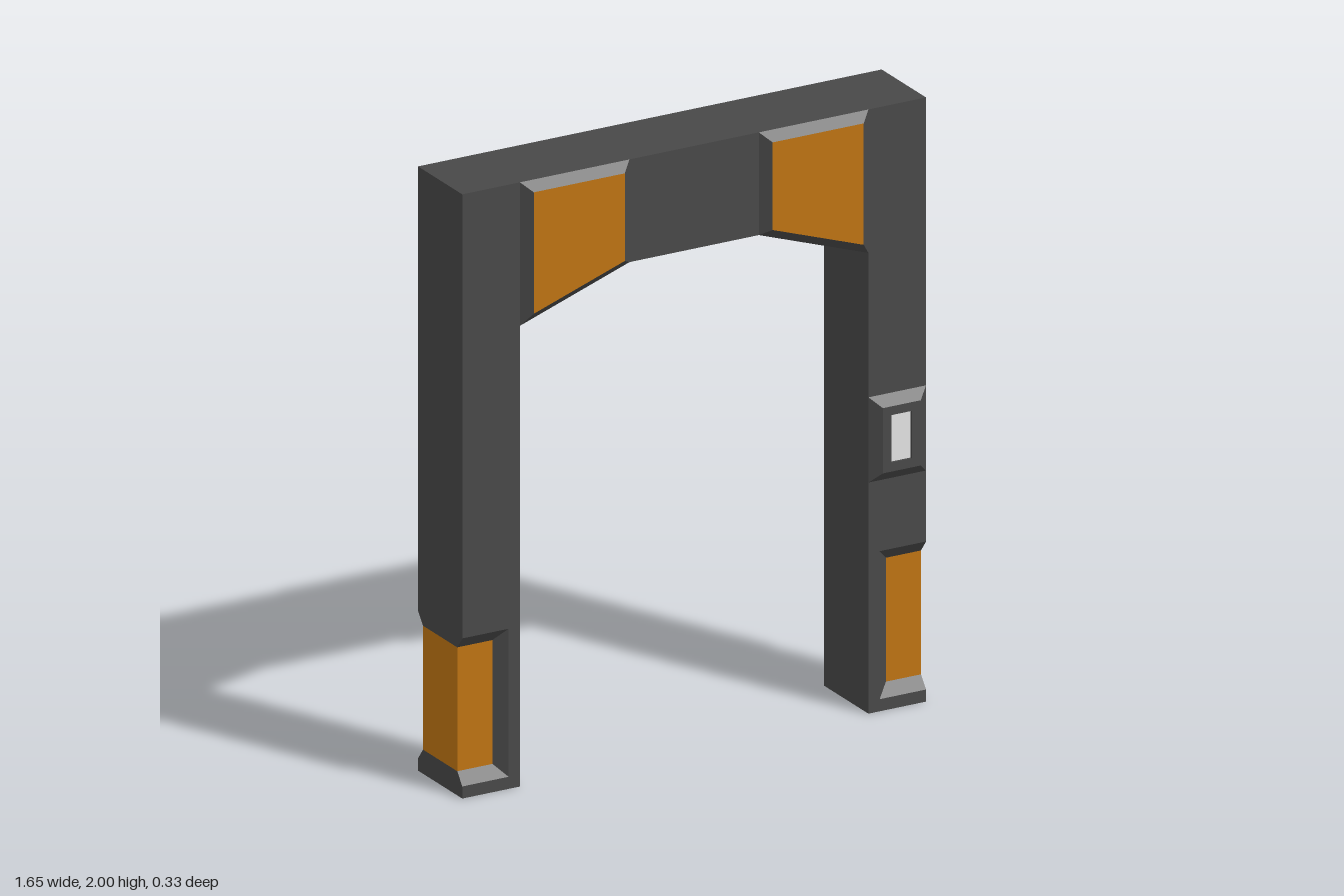
import * as THREE from 'three';

const DEPTH = 0.137;   // half depth of the frame
const RAISED = 0.1655; // front of raised panels
const SUNK = 0.106;    // front of the recessed foot plates
const OUT = 0.825, IN = 0.62;

const material = (name, color) => {
  const m = new THREE.MeshStandardMaterial({ color });
  m.name = name;
  return m;
};

// Joins rings of points with flat quads; pick(level, side) gives the material index.
// An end cap has side -1; its level is 'start' or 'end'.
function loft(name, rings, materials, pick, { start = false, end = false } = {}) {
  const buckets = materials.map(() => []);
  const n = rings[0].length;
  for (let l = 0; l < rings.length - 1; l++) {
    for (let i = 0; i < n; i++) {
      const j = (i + 1) % n;
      const [a, b, c, d] = [rings[l][i], rings[l][j], rings[l + 1][j], rings[l + 1][i]];
      buckets[pick(l, i)].push(...a, ...b, ...c, ...a, ...c, ...d);
    }
  }
  const cap = (ring, level) => {
    for (let i = 1; i < n - 1; i++) buckets[pick(level, -1)].push(...ring[0], ...ring[i], ...ring[i + 1]);
  };
  if (start) cap([...rings[0]].reverse(), 'start');
  if (end) cap(rings[rings.length - 1], 'end');

  const geometry = new THREE.BufferGeometry();
  geometry.setAttribute('position', new THREE.Float32BufferAttribute(buckets.flat(), 3));
  let first = 0;
  buckets.forEach((bucket, i) => {
    geometry.addGroup(first, bucket.length / 3, i);
    first += bucket.length / 3;
  });
  geometry.computeVertexNormals();
  const mesh = new THREE.Mesh(geometry, materials);
  mesh.name = name;
  return mesh;
}

const atZ = (points, z) => points.map(([x, y]) => [x, y, z]);
const rect = (x0, x1, y0, y1) => [[x0, y0], [x1, y0], [x1, y1], [x0, y1]];

export function createModel() {
  const dark = material('darkFrame', 0x484848);
  const orange = material('orangePlate', 0xbf7412);
  const light = material('lightScreen', 0xe2e2e2);

  // Arch: both legs above the feet, and the crossbeam with its sloped corners
  const shape = new THREE.Shape([
    [-OUT, 0.53], [-IN, 0.53], [-IN, 1.525], [-0.23, 1.66], [0.23, 1.66],
    [IN, 1.525], [IN, 0.53], [OUT, 0.53], [OUT, 2], [-OUT, 2],
  ].map(([x, y]) => new THREE.Vector2(x, y)));
  const archGeometry = new THREE.ExtrudeGeometry(shape, { depth: DEPTH * 2, bevelEnabled: false });
  archGeometry.translate(0, 0, -DEPTH);
  const arch = new THREE.Mesh(archGeometry, dark);
  arch.name = 'arch';

  // Foot: recesses front and back, with an orange plate wrapped round the outer side
  function makeFoot() {
    const section = (y, sunk) => {
      const x = sunk ? 0.70 : 0.66, z = sunk ? SUNK : DEPTH;
      return [
        [IN, y, DEPTH], [0.66, y, DEPTH], [x, y, z], [OUT, y, z],
        [OUT, y, -z], [x, y, -z], [0.66, y, -DEPTH], [IN, y, -DEPTH],
      ];
    };
    const rings = [section(0, false), section(0.04, false), section(0.08, true),
      section(0.49, true), section(0.53, false)];
    return loft('foot', rings, [dark, orange],
      (l, i) => (l === 2 && i >= 2 && i <= 4 ? 1 : 0), { start: true });
  }

  // Raised corner panel with chamfered edges and an orange face
  function makeCornerPanel(side) {
    const flip = (points) => (side > 0 ? points : points.map(([x, y]) => [-x, y]).reverse());
    const base = flip([[0.23, 1.66], [IN, 1.525], [IN, 2], [0.23, 2]]);
    const face = flip([[0.263, 1.68], [0.587, 1.568], [0.587, 1.97], [0.263, 1.97]]);
    return loft('cornerPanel', [atZ(base, DEPTH), atZ(face, RAISED)], [dark, orange],
      (l) => (l === 'end' ? 1 : 0), { end: true });
  }

  // Control box with a sunken light screen
  function makeControlBox() {
    const screen = rect(0.686, 0.758, 0.828, 0.985);
    const rings = [
      atZ(rect(IN, OUT, 0.765, 1.047), DEPTH),
      atZ(rect(0.655, 0.79, 0.798, 1.014), RAISED),
      atZ(screen, RAISED),
      atZ(screen, RAISED - 0.008),
    ];
    return loft('controlBox', rings, [dark, light], (l) => (l === 'end' ? 1 : 0), { end: true });
  }

  // The back half repeats the front half turned half a turn
  const model = new THREE.Group();
  model.name = 'gateway';
  model.add(arch);
  for (const [name, turn] of [['frontHalf', 0], ['backHalf', Math.PI]]) {
    const half = new THREE.Group();
    half.name = name;
    half.add(makeFoot(), makeCornerPanel(1), makeCornerPanel(-1), makeControlBox());
    half.rotation.y = turn;
    model.add(half);
  }
  return model;
}
